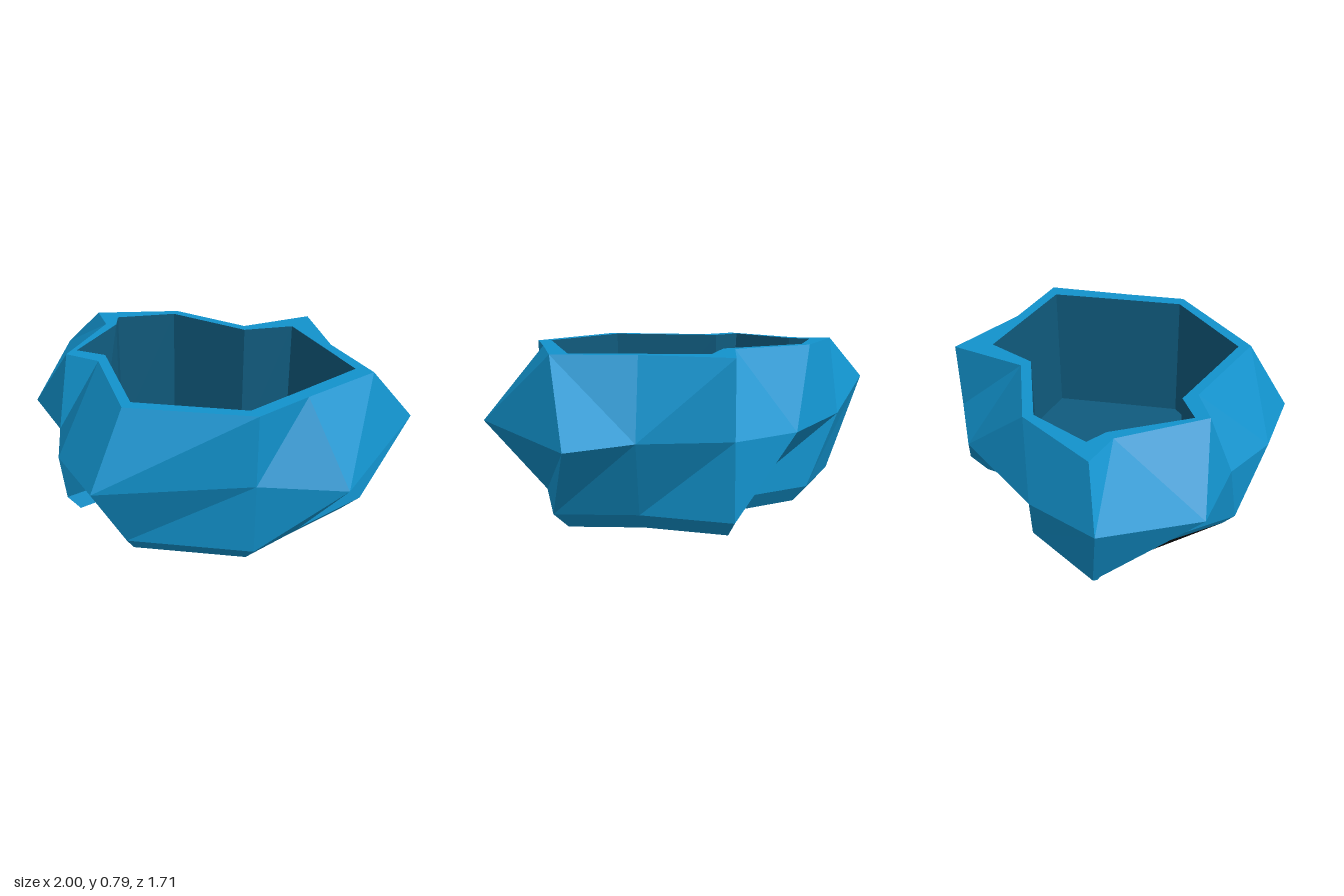
import * as THREE from 'three';

// Ring outlines as [x, z], counterclockwise from the front corner
const RIM = [[.08, .64], [.63, .385], [.72, .09], [.86, -.33], [.54, -.54], [.25, -.86],
  [.03, -.53], [-.41, -.53], [-.77, -.26], [-.62, -.14], [-.52, .31], [-.33, .29]];
const BELLY = [[.05, .85], [.63, .385], [.995, .19], [.96, -.685], [.63, -.68], [.25, -.86],
  [-.11, -.82], [-.6, -.53], [-1, -.26], [-.81, .25], [-.48, .44], [-.29, .67]];
const MOUTH = [[.08, .575], [.57, .355], [.67, .02], [.77, -.32], [.51, -.495], [.25, -.67],
  [.06, -.48], [-.4, -.48], [-.63, -.26], [-.57, -.165], [-.51, .24], [-.35, .21]];

// Copy of a ring with one corner moved
const moved = (ring, index, corner) => ring.map((p, i) => (i === index ? corner : p));
const raise = (ring, y) => ring.map(([x, z]) => [x, y, z]);

// Closed band of triangles between two rings; rising(i) picks the diagonal
function band(a, b, rising) {
  const pos = [];
  const n = a.length;
  for (let i = 0; i < n; i++) {
    const j = (i + 1) % n;
    const corners = rising(i)
      ? [a[i], a[j], b[j], a[i], b[j], b[i]]
      : [a[i], a[j], b[i], a[j], b[j], b[i]];
    corners.forEach((p) => pos.push(...p));
  }
  const g = new THREE.BufferGeometry();
  g.setAttribute('position', new THREE.Float32BufferAttribute(pos, 3));
  g.computeVertexNormals();
  return g;
}

// Flat horizontal polygon facing up or down
function plate(points, y, up) {
  const shape = new THREE.Shape(points.map(([x, z]) => new THREE.Vector2(x, up ? -z : z)));
  const g = new THREE.ShapeGeometry(shape);
  g.rotateX(up ? -Math.PI / 2 : Math.PI / 2);
  g.translate(0, y, 0);
  return g;
}

export function createModel() {
  const make = (name, hex) => {
    const m = new THREE.MeshStandardMaterial({ color: hex, side: THREE.DoubleSide, flatShading: true });
    m.name = name;
    return m;
  };
  const blue = make('blue', 0x1292cc);
  const deepBlue = make('deep blue', 0x105b7e);
  const black = make('black', 0x060606);

  const group = new THREE.Group();
  group.name = 'facetedBowl';
  const add = (name, geometry, material) => {
    const mesh = new THREE.Mesh(geometry, material);
    mesh.name = name;
    group.add(mesh);
  };

  // Rings at their heights
  const baseOutline = moved(RIM, 10, [-.41, .5]);
  const footOutline = baseOutline.map(([x, z]) => [x * .9, z * .9]);
  const floorOutline = moved(MOUTH, 10, [-.44, .21]);
  const belly = raise(BELLY, .435);
  belly[8][1] = .57;
  const foot = raise(footOutline, 0);
  const base = raise(baseOutline, .08);
  const rim = raise(RIM, .79);
  const mouth = raise(MOUTH, .79);
  const floor = raise(floorOutline, .08);

  // Outer shell
  add('footBevel', band(foot, base, () => true), blue);
  add('lowerFacets', band(base, belly, () => true), blue);
  add('upperFacets', band(belly, rim, (i) => i !== 3), blue);
  add('rim', band(rim, mouth, () => true), blue);

  // Hollow
  add('innerWall', band(mouth, floor, () => true), deepBlue);
  add('innerFloor', plate(floorOutline, .08, true), deepBlue);

  // Underside in three pieces
  const pick = (...ids) => ids.map((i) => footOutline[i]);
  const notch = [[-.335, -.07], [-.52, .06]];
  add('undersideFront', plate(pick(11, 0, 1, 2, 3, 4), 0, false), blue);
  add('undersideSide', plate([...pick(7, 8, 9), notch[1], notch[0]], 0, false), blue);
  add('undersideDark', plate([...pick(4, 5, 6, 7), ...notch, ...pick(10, 11)], 0, false), black);

  return group;
}
